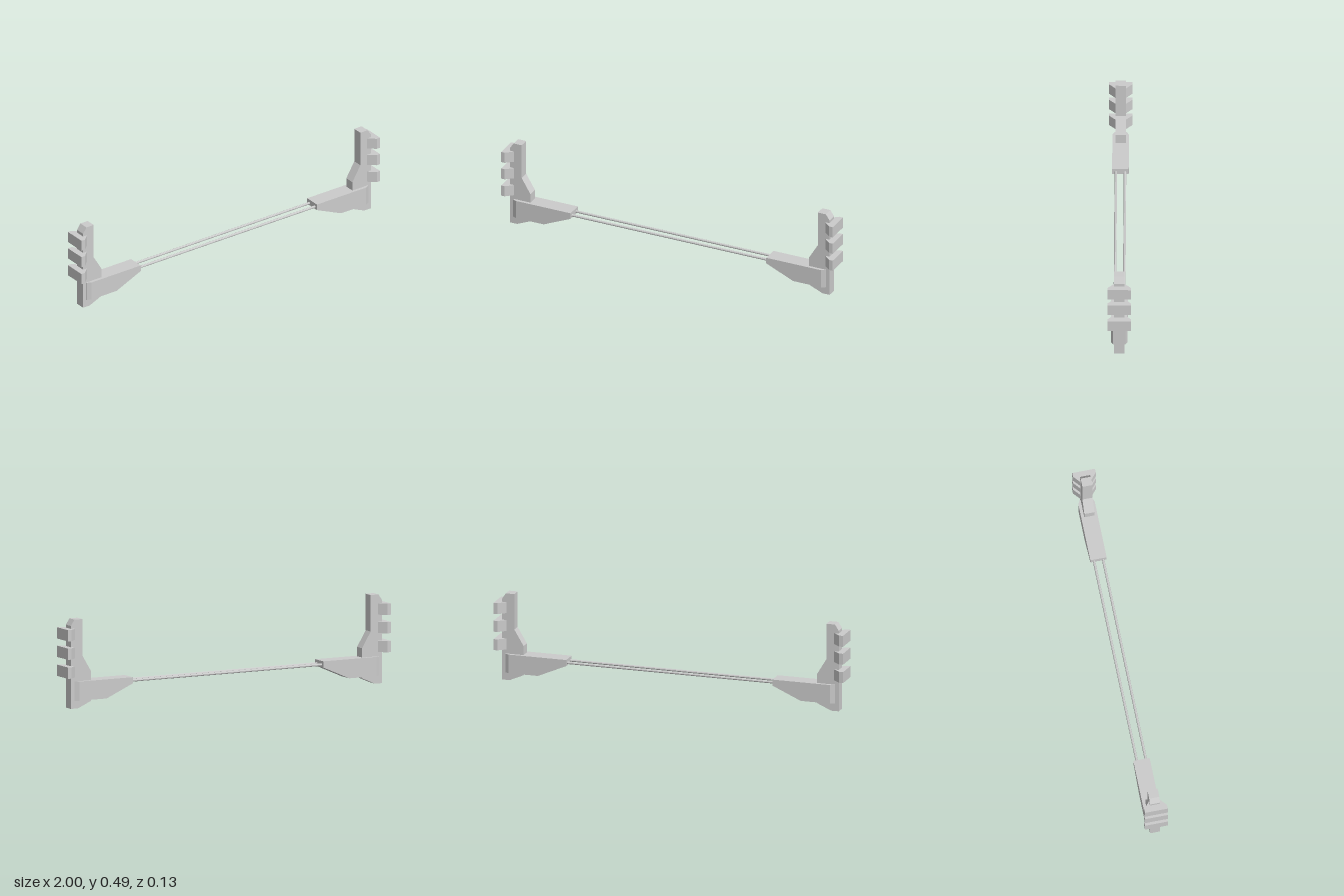
import * as THREE from 'three';

const material = new THREE.MeshStandardMaterial({ color: 0xcccccc, flatShading: true });

function part(name, geometry) {
  const mesh = new THREE.Mesh(geometry, material);
  mesh.name = name;
  return mesh;
}

// Rectangular sections along x: [x, bottom, top, half depth]
function loft(sections) {
  const n = sections.length - 1;
  const geometry = new THREE.BoxGeometry(1, 1, 1, n, 1, 1);
  const p = geometry.attributes.position;
  for (let i = 0; i < p.count; i++) {
    const [x, bottom, top, half] = sections[Math.round((p.getX(i) + 0.5) * n)];
    p.setXYZ(i, x, p.getY(i) > 0 ? top : bottom, Math.sign(p.getZ(i)) * half);
  }
  geometry.computeVertexNormals();
  return geometry;
}

function createEnd(name) {
  const end = new THREE.Group();
  end.name = name;

  // Upright post with a chamfered top and a braced foot
  const profile = [
    [0.92, 0], [0.964, 0], [0.964, 0.455], [0.942, 0.488], [0.893, 0.488],
    [0.893, 0.288], [0.84, 0.2], [0.84, 0.035],
  ].map(([x, y]) => new THREE.Vector2(x, y));
  const post = new THREE.ExtrudeGeometry(new THREE.Shape(profile), { depth: 0.056, bevelEnabled: false });
  post.translate(0, 0, -0.028);
  end.add(part('post', post));

  // Tapered arm reaching inwards, narrowed at its outer tip
  end.add(part('arm', loft([
    [0.59, 0.115, 0.149, 0.045],
    [0.752, 0.044, 0.149, 0.045],
    [0.92, 0.044, 0.149, 0.045],
    [0.943, 0.044, 0.149, 0.033],
  ])));

  // Three flared teeth on the outer face
  for (const y of [0.203, 0.307, 0.408]) {
    end.add(part('tooth', loft([
      [0.938, y - 0.031, y + 0.031, 0.028],
      [0.978, y - 0.031, y + 0.031, 0.063],
      [1, y - 0.031, y + 0.031, 0.063],
    ])));
  }
  return end;
}

export function createModel() {
  const model = new THREE.Group();
  model.name = 'bar';

  const left = createEnd('leftEnd');
  const right = createEnd('rightEnd');
  right.rotation.y = Math.PI;
  model.add(left, right);

  // Pair of thin rods joining the two ends
  for (const z of [-0.025, 0.025]) {
    const rod = part('rod', new THREE.CylinderGeometry(0.007, 0.007, 1.2, 8));
    rod.rotation.z = Math.PI / 2;
    rod.position.set(0, 0.128, z);
    model.add(rod);
  }
  return model;
}
